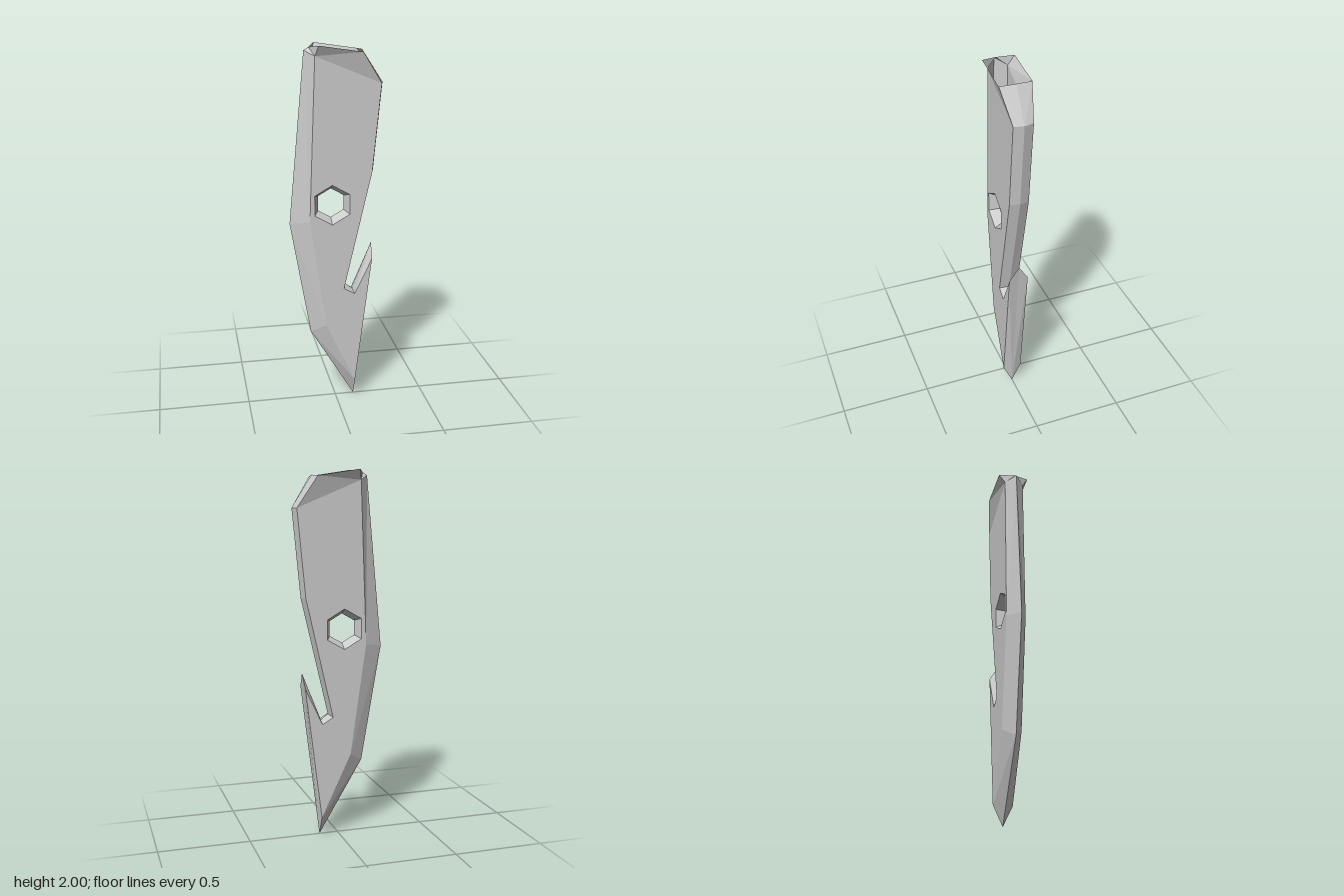
import * as THREE from 'three';

const FACE_Z = 0.053, RIM_Z = 0.085;

// Sharp edge outline on the centre plane, counter-clockwise from the upper left
const edge = [[-0.165, 1.97], [-0.25, 1.05], [-0.14, 0.41], [0.105, 0], [0.2, 0.92],
  [0.095, 0.655], [0.055, 0.685], [0.205, 1.33], [0.25, 1.8]];
// Matching outline of the flat cheek
const cheek = [[-0.115, 1.945], [-0.147, 1.07], [-0.06, 0.46], [0.105, 0.11], [0.195, 0.84],
  [0.1, 0.64], [0.04, 0.675], [0.19, 1.33], [0.235, 1.8]];
// Open, flared mouth at the top
const rimRight = [0.13, 1.965], rimLeft = [-0.1, 2];
const mouthRight = [0.14, 1.97], mouthLeft = [-0.14, 1.985];

// Clockwise hexagon for the eyelet
const hexagon = (r) => Array.from({ length: 6 }, (_, i) => {
  const a = Math.PI / 2 - i * Math.PI / 3;
  return [-0.025 + r * Math.cos(a), 1.157 + r * Math.sin(a)];
});
const holeOuter = hexagon(0.11), holeInner = hexagon(0.08);

const at = (points, z) => points.map(([x, y]) => [x, y, z]);

// Mesh from front-half triangles, mirrored to the back with reversed corners
function mirroredMesh(name, triangles, material) {
  const positions = [];
  for (const t of triangles) {
    for (const p of t) positions.push(...p);
    for (const [x, y, z] of [...t].reverse()) positions.push(x, y, -z);
  }
  const geometry = new THREE.BufferGeometry();
  geometry.setAttribute('position', new THREE.Float32BufferAttribute(positions, 3));
  geometry.computeVertexNormals();
  const mesh = new THREE.Mesh(geometry, material);
  mesh.name = name;
  return mesh;
}

const quad = (a, b, c, d) => [[a, b, c], [a, c, d]];

// Strip of quads between two matching outlines
function strip(low, high, closed) {
  const triangles = [];
  const count = closed ? low.length : low.length - 1;
  for (let i = 0; i < count; i++) {
    const j = (i + 1) % low.length;
    triangles.push(...quad(low[i], low[j], high[j], high[i]));
  }
  return triangles;
}

export function createModel() {
  const group = new THREE.Group();
  group.name = 'barbedBlade';
  const material = new THREE.MeshStandardMaterial({
    color: 0xcccccc, flatShading: true, side: THREE.DoubleSide,
  });

  const edge3 = at(edge, 0), cheek3 = at(cheek, FACE_Z);

  // Flat cheeks with the eyelet cut out
  const toVectors = (points) => points.map(([x, y]) => new THREE.Vector2(x, y));
  const corners = [...cheek3, ...at(holeOuter, FACE_Z)];
  const faces = THREE.ShapeUtils.triangulateShape(toVectors(cheek), [toVectors(holeOuter)]);
  group.add(mirroredMesh('cheeks', faces.map((f) => f.map((i) => corners[i])), material));

  // Bevels running down to the sharp edge
  group.add(mirroredMesh('bevels', strip(edge3, cheek3, false), material));

  // Sloping eyelet walls
  group.add(mirroredMesh('eyelet', strip(at(holeInner, 0), at(holeOuter, FACE_Z), true), material));

  // Flared top: side flap, right end and left end
  const [rR, rL] = at([rimRight, rimLeft], RIM_Z);
  const [mR, mL] = at([mouthRight, mouthLeft], 0);
  const last = edge.length - 1;
  group.add(mirroredMesh('flaredTop', [
    ...quad(cheek3[0], cheek3[last], rR, rL),
    ...quad(edge3[last], mR, rR, cheek3[last]),
    ...quad(mL, edge3[0], cheek3[0], rL),
  ], material));

  return group;
}
